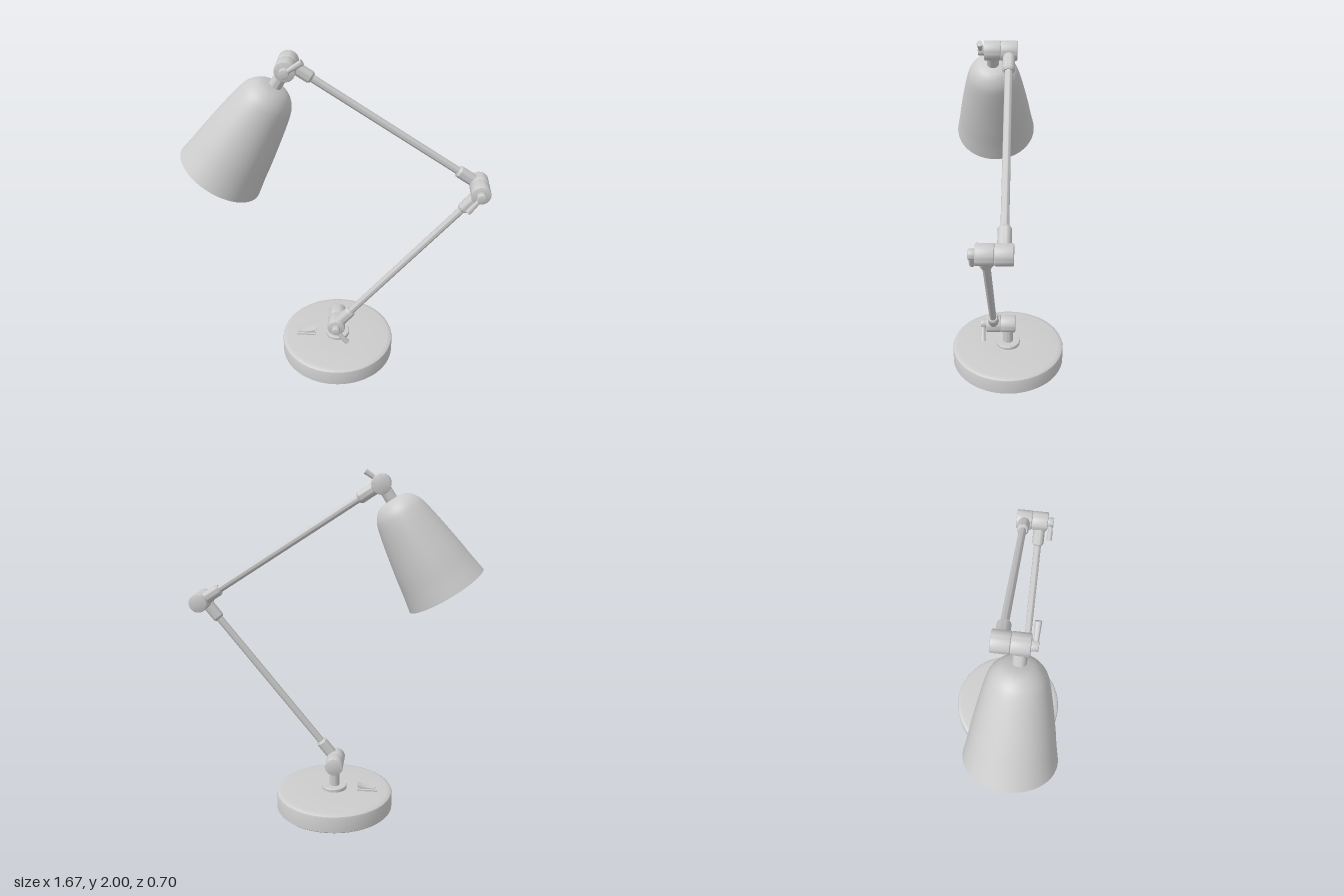
import * as THREE from 'three';
import { toCreasedNormals } from 'three/addons/utils/BufferGeometryUtils.js';

const material = new THREE.MeshStandardMaterial({ color: 0xcccccc });
const UP = new THREE.Vector3(0, 1, 0);
const v3 = (x, y, z) => new THREE.Vector3(x, y, z);

function mesh(name, geometry, parent) {
  const m = new THREE.Mesh(geometry, material);
  m.name = name;
  parent.add(m);
  return m;
}

// Turned part around y from [radius, height] pairs, listed upwards
function turned(points, segments = 48, crease = 0.6) {
  const g = new THREE.LatheGeometry(points.map(([r, y]) => new THREE.Vector2(r, y)), segments);
  return toCreasedNormals(g, crease);
}

// Bevelled cylinder along y
function bevelled(r, y0, y1, b, segments = 40) {
  return turned([[0, y0], [r - b, y0], [r - b * 0.3, y0 + b * 0.3], [r, y0 + b],
    [r, y1 - b], [r - b * 0.3, y1 - b * 0.3], [r - b, y1], [0, y1]], segments);
}

// Round bar between two points
function bar(name, a, b, rA, rB, parent) {
  const dir = b.clone().sub(a);
  const length = dir.length();
  const g = toCreasedNormals(new THREE.CylinderGeometry(rB, rA, length, 24), 0.6);
  const m = mesh(name, g, parent);
  m.position.copy(a).addScaledVector(dir, 0.5);
  m.quaternion.setFromUnitVectors(UP, dir.normalize());
}

// Pivot: two barrels side by side, a bolt and a tightening lever
function joint(name, centre, leverAngle, parent) {
  const group = new THREE.Group();
  group.name = name;
  group.position.set(centre.x, centre.y, 0);
  parent.add(group);
  mesh('backBarrel', bevelled(0.054, -0.046, 0.045, 0.006).rotateX(Math.PI / 2), group);
  mesh('frontBarrel', bevelled(0.054, 0.045, 0.136, 0.006).rotateX(Math.PI / 2), group);
  mesh('bolt', bevelled(0.026, 0.13, 0.17, 0.005, 24).rotateX(Math.PI / 2), group);
  const d = v3(Math.cos(leverAngle), Math.sin(leverAngle), 0);
  const at = (s) => d.clone().multiplyScalar(s).setZ(0.155);
  bar('lever', at(-0.02), at(0.112), 0.01, 0.016, group);
}

// Arm rod with a socket at each end
function arm(name, from, to, z, parent) {
  const group = new THREE.Group();
  group.name = name;
  parent.add(group);
  const a = v3(from.x, from.y, z), b = v3(to.x, to.y, z);
  const length = a.distanceTo(b);
  const at = (s) => a.clone().lerp(b, s / length);
  bar('rod', at(0.05), at(length - 0.05), 0.021, 0.021, group);
  for (const end of [0, 1]) {
    const place = (s) => at(end ? length - s : s);
    bar('socket', place(0.03), place(0.135), 0.034, 0.034, group);
    bar('socketLip', place(0.135), place(0.147), 0.034, 0.026, group);
  }
}

export function createModel() {
  const lamp = new THREE.Group();
  lamp.name = 'deskLamp';
  const low = v3(0, 0.265, 0), elbow = v3(0.782, 1.255, 0), head = v3(-0.254, 1.924, 0);

  // Weighted base with a rounded edge and a slightly raised top
  mesh('base', turned([[0, 0], [0.345, 0], [0.35, 0.005], [0.35, 0.094], [0.347, 0.102],
    [0.338, 0.108], [0.32, 0.111], [0.15, 0.114], [0, 0.115]], 72), lamp);
  mesh('collar', turned([[0, 0.1], [0.075, 0.1], [0.075, 0.131], [0.071, 0.136], [0, 0.136]]), lamp);
  mesh('post', turned([[0.031, 0.13], [0.031, 0.23]], 32), lamp);

  // Rocker switch on the base
  const rocker = new THREE.Shape();
  rocker.moveTo(-0.25, 0.11);
  rocker.lineTo(-0.148, 0.11);
  rocker.lineTo(-0.142, 0.147);
  rocker.quadraticCurveTo(-0.19, 0.125, -0.25, 0.129);
  const rockerGeometry = new THREE.ExtrudeGeometry(rocker, { depth: 0.05, bevelEnabled: false });
  mesh('switchRocker', rockerGeometry, lamp).position.z = -0.025;
  mesh('switchPlate', new THREE.BoxGeometry(0.12, 0.02, 0.076), lamp).position.set(-0.2, 0.112, 0);

  // Pivots and arms
  joint('baseJoint', low, -0.88, lamp);
  joint('elbowJoint', elbow, -2.17, lamp);
  joint('headJoint', head, 0.59, lamp);
  arm('lowerArm', low, elbow, 0.09, lamp);
  arm('upperArm', elbow, head, 0, lamp);

  // Shade head: local y runs from the open rim to the head pivot
  const shade = new THREE.Group();
  shade.name = 'shadeHead';
  const rim = v3(-0.63, 1.33, 0.091);
  const axis = v3(head.x, head.y, 0.091).sub(rim);
  const reach = axis.length();
  shade.position.copy(rim);
  shade.quaternion.setFromUnitVectors(UP, axis.normalize());
  lamp.add(shade);

  const curve = new THREE.SplineCurve([[0.24, 0], [0.222, 0.1], [0.205, 0.21], [0.176, 0.37],
    [0.15, 0.49], [0.128, 0.545], [0.09, 0.584], [0.045, 0.598], [0, 0.6]]
    .map(([r, y]) => new THREE.Vector2(r, y)));
  const outer = curve.getPoints(40).map((p) => [Math.max(p.x, 0), p.y]);
  const inner = outer.map(([r, y]) => [Math.max(r - 0.008, 0), y * 0.985]).reverse();
  mesh('shade', turned([...inner, ...outer], 64), shade);
  mesh('neck', turned([[0.034, 0.58], [0.034, reach - 0.03]], 32), shade);

  return lamp;
}
